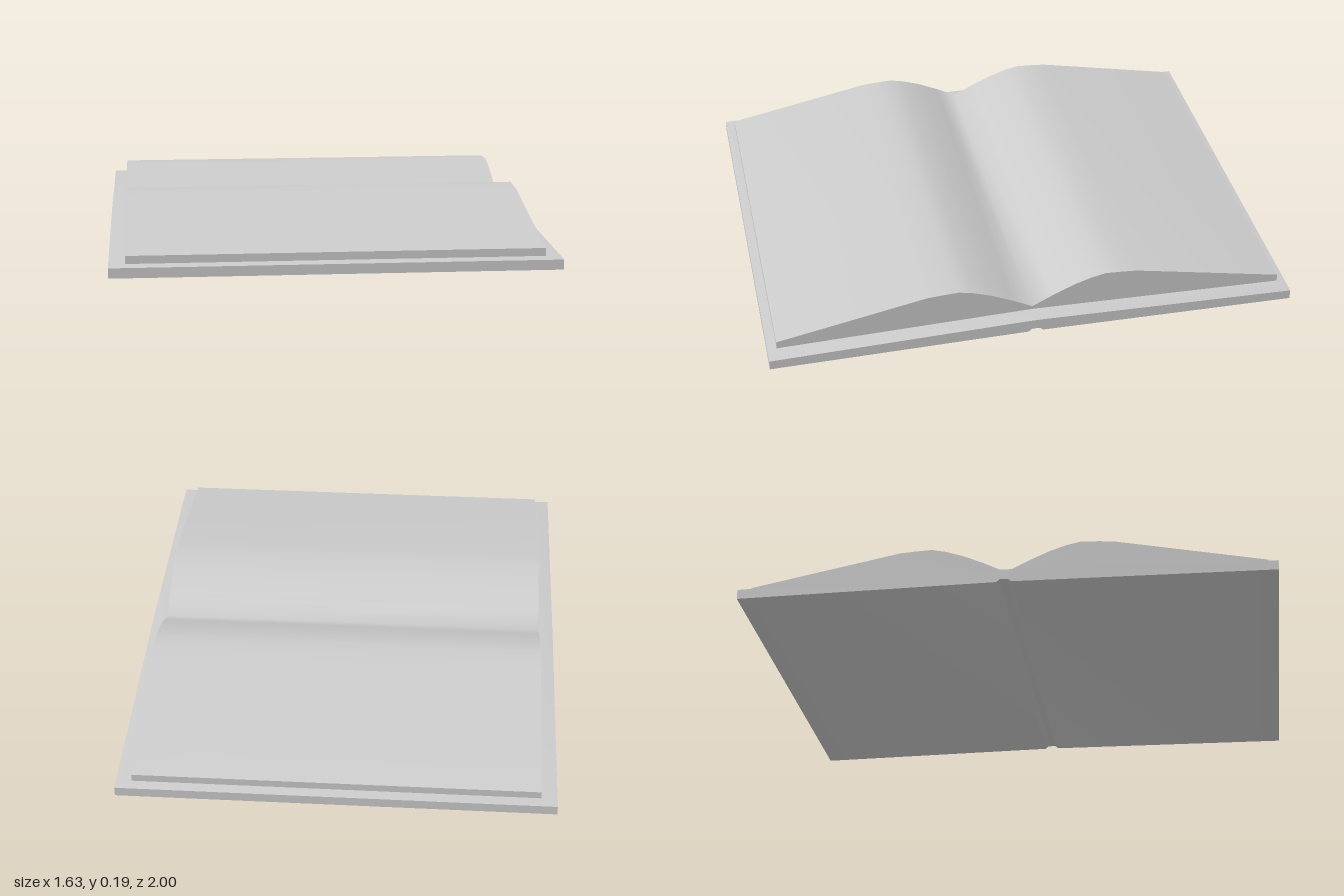
import * as THREE from 'three';
import { toCreasedNormals } from 'three/addons/utils/BufferGeometryUtils.js';

const CREASE = Math.PI / 3;
const material = new THREE.MeshStandardMaterial({ color: 0xcccccc });

// Mirrors a half outline [z, y] (listed from the fold outwards, fold point first and last on z = 0)
// and extrudes it across x to the given half width.
function foldedSlab(half, halfWidth) {
  const mirrored = half.slice(1, -1).reverse().map(([z, y]) => [-z, y]);
  const shape = new THREE.Shape([...half, ...mirrored].map(([z, y]) => new THREE.Vector2(z, y)));
  const geometry = new THREE.ExtrudeGeometry(shape, { depth: halfWidth * 2, bevelEnabled: false });
  geometry.translate(0, 0, -halfWidth);
  geometry.rotateY(-Math.PI / 2);
  return geometry;
}

function part(name, geometry) {
  const mesh = new THREE.Mesh(toCreasedNormals(geometry, CREASE), material);
  mesh.name = name;
  return mesh;
}

export function createModel() {
  const book = new THREE.Group();
  book.name = 'openBook';

  // Cover boards with a shallow groove under the spine
  const cover = foldedSlab([
    [0, 0.022], [0.015, 0.022], [0.028, 0.011], [1, 0], [1, 0.037], [0.03, 0.061], [0, 0.061],
  ], 0.815);
  book.add(part('cover', cover));

  // Endpaper: its upper face is drawn in so the rim slopes gently up to the pages
  const endpaper = foldedSlab([
    [0, 0.061], [0.03, 0.061], [1, 0.037], [0.96, 0.045], [0.03, 0.068], [0, 0.068],
  ], 0.815);
  const p = endpaper.attributes.position;
  for (let i = 0; i < p.count; i++) {
    const rim = 0.0617 - 0.0247 * Math.abs(p.getZ(i));
    if (p.getY(i) > rim + 0.003) p.setX(i, Math.sign(p.getX(i)) * 0.755);
  }
  book.add(part('endpaper', endpaper));

  // Two page blocks arching up from the fold
  const pages = foldedSlab([
    [0, 0.055], [0.965, 0.038], [0.965, 0.073], [0.4, 0.185], [0.345, 0.189],
    [0.28, 0.192], [0.225, 0.18], [0.16, 0.158], [0.08, 0.122], [0, 0.081],
  ], 0.755);
  book.add(part('pages', pages));

  return book;
}
